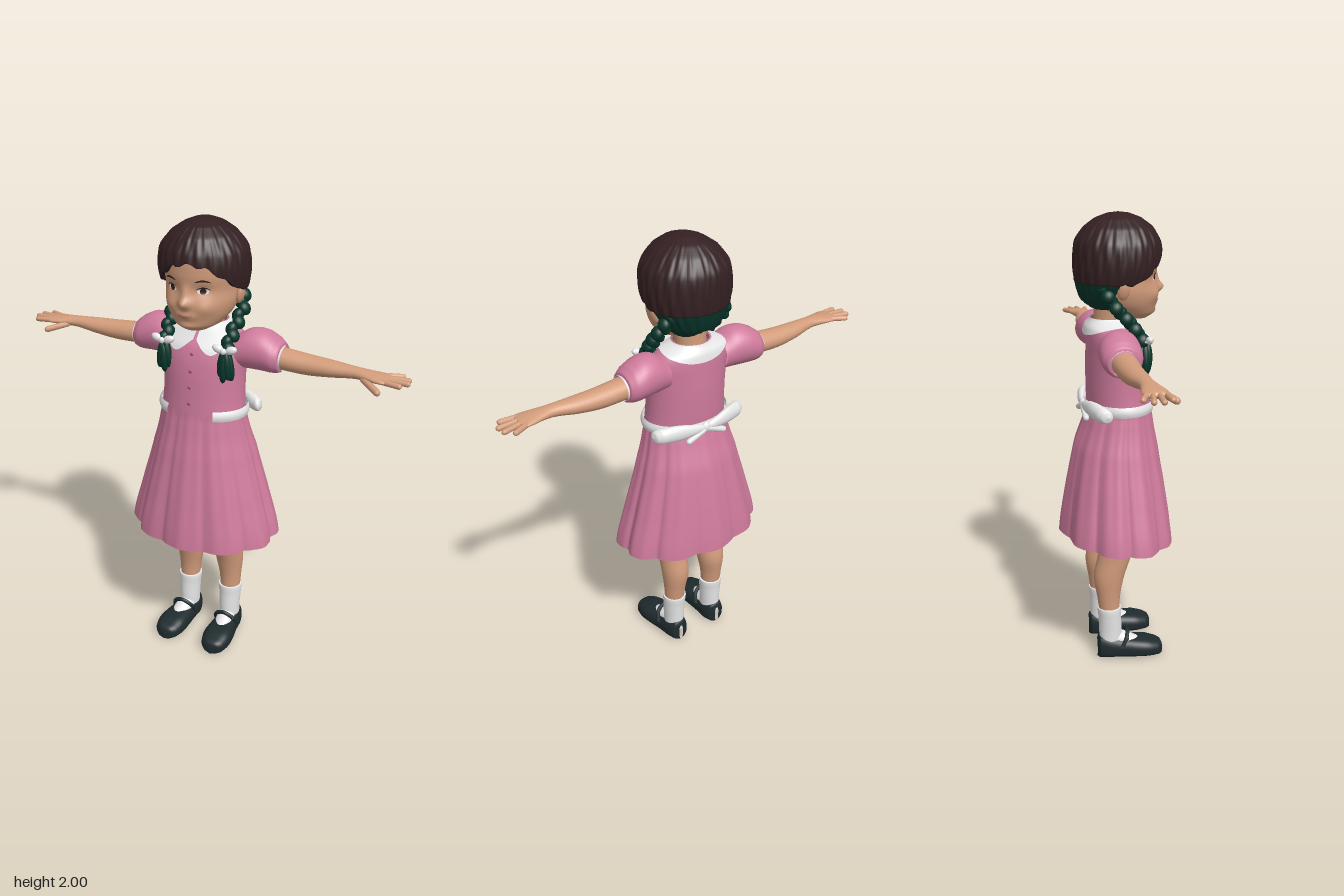
import * as THREE from 'three';
import { mergeVertices, mergeGeometries } from 'three/addons/utils/BufferGeometryUtils.js';

const mat = (name, color, side = THREE.FrontSide) => {
  const m = new THREE.MeshStandardMaterial({ color, side });
  m.name = name;
  return m;
};
const { sin, cos, abs, exp, PI } = Math;
const gauss = (d, w) => exp(-((d / w) ** 2));

// Smooth value of a ring table [key, centre, centre, radius, radius] at a key
function at(rings, key) {
  let i = 0;
  while (i < rings.length - 2 && key > rings[i + 1][0]) i++;
  const p1 = rings[i], p2 = rings[i + 1];
  const p0 = rings[i - 1] || p1, p3 = rings[i + 2] || p2;
  const t = THREE.MathUtils.clamp((key - p1[0]) / (p2[0] - p1[0]), 0, 1);
  return p1.map((_, k) => {
    if (k === 0) return key;
    const a = p0[k], b = p1[k], c = p2[k], d = p3[k];
    const r = b + 0.5 * t * (c - a + t * (2 * a - 5 * b + 4 * c - d + t * (3 * (b - c) + d - a)));
    return k > 2 ? Math.max(r, 0) : r;
  });
}

// Surface from a function of u, v in 0..1
function grid(fn, nu, nv) {
  const pos = [], idx = [];
  for (let j = 0; j <= nv; j++) for (let i = 0; i <= nu; i++) pos.push(...fn(i / nu, j / nv));
  for (let j = 0; j < nv; j++) for (let i = 0; i < nu; i++) {
    const a = j * (nu + 1) + i, b = a + 1, c = b + nu + 1, d = a + nu + 1;
    idx.push(a, b, c, a, c, d);
  }
  const g = new THREE.BufferGeometry();
  g.setAttribute('position', new THREE.Float32BufferAttribute(pos, 3));
  g.setIndex(idx);
  const m = mergeVertices(g, 1e-5);
  m.computeVertexNormals();
  return m;
}

// Elliptical rings lofted along an axis
function loft(rings, axis = 'y', nu = 28, steps = 5) {
  const n = rings.length - 1;
  return grid((u, v) => {
    const f = v * n, i = Math.min(Math.floor(f), n - 1);
    const key = rings[i][0] + (rings[i + 1][0] - rings[i][0]) * (f - i);
    const [k, c1, c2, r1, r2] = at(rings, key), a = u * 2 * PI;
    if (axis === 'y') return [c1 + r1 * sin(a), k, c2 + r2 * cos(a)];
    if (axis === 'x') return [k, c1 - r1 * sin(a), c2 + r2 * cos(a)];
    return [c1 + r1 * cos(a), c2 + r2 * sin(a), k];
  }, nu, n * steps);
}
// Point on an upright ring table, pushed out by off
function onRings(rings, a, y, off = 0) {
  const [, cx, cz, rx, rz] = at(rings, y);
  return [cx + (rx + off) * sin(a), y, cz + (rz + off) * cos(a)];
}
function ball(x, y, z, rx, ry, rz, tilt = 0) {
  return new THREE.SphereGeometry(1, 18, 12).scale(rx, ry, rz).rotateZ(tilt).translate(x, y, z);
}
function capsule(p, q, r) {
  const a = new THREE.Vector3(...p), b = new THREE.Vector3(...q), d = b.clone().sub(a);
  const turn = new THREE.Quaternion().setFromUnitVectors(new THREE.Vector3(0, 1, 0), d.clone().normalize());
  return new THREE.CapsuleGeometry(r, d.length(), 5, 10).applyQuaternion(turn).translate(...a.add(b).multiplyScalar(0.5).toArray());
}
function mirror(geo) {
  const g = geo.clone().scale(-1, 1, 1), ix = g.index.array;
  for (let i = 0; i < ix.length; i += 3) [ix[i + 1], ix[i + 2]] = [ix[i + 2], ix[i + 1]];
  g.computeVertexNormals();
  return g;
}

const HEAD = [[1.553, 0, 0.09, 0, 0], [1.56, 0, 0.085, 0.05, 0.05], [1.585, 0, 0.06, 0.097, 0.105], [1.63, 0, 0.035, 0.132, 0.138],
  [1.68, 0, 0.02, 0.15, 0.157], [1.735, 0, 0.015, 0.153, 0.157], [1.8, 0, 0.015, 0.162, 0.165], [1.88, 0, 0.01, 0.155, 0.162],
  [1.95, 0, 0.01, 0.1, 0.11], [1.98, 0, 0.01, 0, 0]];
const HAIR = [[1.6, 0, -0.04, 0.085, 0.08], [1.65, 0, -0.03, 0.135, 0.122], [1.72, 0, -0.003, 0.177, 0.168], [1.8, 0, 0.008, 0.19, 0.184],
  [1.88, 0, 0.01, 0.179, 0.178], [1.94, 0, 0.012, 0.135, 0.142], [1.975, 0, 0.012, 0.085, 0.095], [1.993, 0, 0.012, 0.042, 0.047], [2, 0, 0.012, 0, 0]];
const TORSO = [[1.165, 0, 0.015, 0.19, 0.138], [1.25, 0, 0.01, 0.184, 0.136], [1.35, 0, 0.005, 0.184, 0.132], [1.42, 0, 0, 0.19, 0.125],
  [1.48, 0, -0.01, 0.19, 0.113], [1.53, 0, -0.028, 0.15, 0.09], [1.565, 0, -0.032, 0.078, 0.07]];
const SKIRT = [[0.59, 0, 0, 0.34, 0.248], [0.8, 0, 0, 0.287, 0.22], [1, 0, 0.002, 0.232, 0.184], [1.14, 0, 0.012, 0.196, 0.148], [1.195, 0, 0.015, 0.188, 0.137]];

// Head surface with nose, cheeks, eye sockets and chin
function headPoint(a, y, off = 0) {
  const p = onRings(HEAD, a, y, off);
  if (cos(a) > 0) {
    const x = p[0];
    p[2] += 0.032 * gauss(x, 0.024) * gauss(y - 1.685, 0.022) + 0.014 * gauss(x, 0.02) * gauss(y - 1.725, 0.03)
      - 0.01 * gauss(abs(x) - 0.068, 0.03) * gauss(y - 1.738, 0.022)
      + 0.012 * gauss(abs(x) - 0.08, 0.04) * gauss(y - 1.665, 0.03)
      + 0.01 * gauss(x, 0.05) * gauss(y - 1.632, 0.018) + 0.008 * gauss(x, 0.04) * gauss(y - 1.585, 0.015);
  }
  return p;
}
// Thin painted oval following the face
const decal = (a0, y0, ra, ry, off, bend = 0) => grid((u, v) => {
  const f = u * 2 * PI, r = 1 - v, c = r * cos(f);
  return headPoint(a0 + ra * c, y0 + ry * r * sin(f) - bend * c * c, off);
}, 24, 6);

export function createModel() {
  const root = new THREE.Group();
  const skin = mat('skin', 0xd29c7b), pink = mat('pinkCloth', 0xcf7b9c, THREE.DoubleSide);
  const white = mat('whiteCloth', 0xe8e8e8, THREE.DoubleSide), brown = mat('brownHair', 0x342022, THREE.DoubleSide);
  const green = mat('greenBraid', 0x07352a, THREE.DoubleSide), shoe = mat('shoeLeather', 0x1f2b2e);
  const iris = mat('iris', 0x3a1d14), lip = mat('lips', 0xb8766a), rose = mat('roseButton', 0xa85678);
  const add = (name, geo, m) => {
    const mesh = new THREE.Mesh(geo, m);
    mesh.name = name;
    root.add(mesh);
  };
  const pair = (name, geo, m) => {
    add(name + 'Left', geo, m);
    add(name + 'Right', mirror(geo), m);
  };

  // Head and face
  add('head', grid((u, v) => headPoint(u * 2 * PI, 1.553 + 0.427 * (0.5 - 0.5 * cos(v * PI))), 110, 80), skin);
  add('neck', loft([[1.48, 0, -0.03, 0.075, 0.07], [1.55, 0, -0.028, 0.068, 0.064], [1.62, 0, -0.02, 0.075, 0.07]]), skin);
  pair('ear', ball(0.16, 1.7, 0.0, 0.016, 0.042, 0.027, -0.2), skin);
  pair('eyeWhite', decal(0.46, 1.737, 0.16, 0.013, 0.002), white);
  pair('eyeIris', decal(0.45, 1.737, 0.085, 0.0125, 0.004), iris);
  pair('upperLid', decal(0.46, 1.752, 0.18, 0.003, 0.005, 0.009), brown);
  pair('eyebrow', decal(0.46, 1.782, 0.2, 0.004, 0.003, 0.008), brown);
  add('lips', decal(0, 1.63, 0.24, 0.006, 0.002, -0.006), lip);

  // Hair cap, with strands sweeping from the crown to an uneven hairline
  const hairline = a => 1.845 - 0.125 * THREE.MathUtils.smoothstep(abs(a - 0.12), 0.1, 1.5) + 0.008 * sin(15 * a) * gauss(a, 1.5);
  const strands = (p, a, y) => {
    const k = 1 + 0.012 * sin(24 * a + 20 * y) + 0.007 * sin(41 * a - 26 * y);
    return [p[0] * k, y, 0.01 + (p[2] - 0.01) * k];
  };
  add('hairCap', grid((u, v) => {
    const a = (u * 2 - 1) * PI, w = Math.max(v - 0.04, 0) / 0.96, low = hairline(a);
    const y = low + (2 - low) * (1 - (1 - w) ** 2);
    return strands(onRings(HAIR, a, y, v === 0 ? -0.03 : 0), a, y);
  }, 180, 40), brown);
  add('napeHair', grid((u, v) => {
    const a = 1.65 + u * (2 * PI - 3.3), y = 1.61 + 0.03 * gauss(a - PI, 0.5) + v * 0.12;
    return strands(onRings(HAIR, a, Math.min(y, 1.74), -0.002), a, y);
  }, 70, 12), green);

  // Braids of overlapping tilted locks, ending in a loose tuft
  const path = new THREE.CatmullRomCurve3([[0.135, 1.7, -0.075], [0.155, 1.63, -0.03], [0.148, 1.56, 0.035], [0.143, 1.49, 0.085]].map(p => new THREE.Vector3(...p)));
  const locks = [];
  for (let i = 0; i < 10; i++) {
    const p = path.getPoint(i / 9), s = i % 2 ? 1 : -1;
    locks.push(ball(p.x + 0.009 * s, p.y, p.z, 0.024, 0.03, 0.029, 0.5 * s));
  }
  for (let i = 0; i < 7; i++) {
    const f = i / 7 * 2 * PI;
    locks.push(ball(0.143 + 0.018 * cos(f), 1.415 + 0.012 * sin(3 * f), 0.095 + 0.016 * sin(f), 0.018, 0.062, 0.018, 0.16 * cos(f)));
  }
  pair('braid', mergeGeometries(locks), green);
  pair('braidBow', mergeGeometries([ball(0.115, 1.492, 0.112, 0.027, 0.017, 0.015, -0.35), ball(0.172, 1.492, 0.108, 0.027, 0.017, 0.015, 0.35),
    ball(0.143, 1.488, 0.122, 0.013, 0.014, 0.012), new THREE.TorusGeometry(0.027, 0.008, 8, 20).rotateX(PI / 2).translate(0.143, 1.486, 0.09)]), white);

  // Dress
  add('bodice', loft(TORSO, 'y', 56), pink);
  add('skirt', grid((u, v) => {
    const a = u * 2 * PI, y = 0.59 + 0.605 * v, p = onRings(SKIRT, a, y), fall = 1 - v;
    const fold = 1 + (0.02 + 0.06 * fall) * (abs(cos(5 * a)) - 0.62) + 0.012 * cos(24 * a + 2 * sin(a)) * (0.4 + v * fall);
    return [p[0] * fold, y - 0.015 * cos(a) * fall, p[2] * fold];
  }, 240, 30), pink);
  pair('puffSleeve', loft([[0.14, 1.45, -0.02, 0.07, 0.08], [0.2, 1.465, -0.028, 0.086, 0.086], [0.26, 1.464, -0.034, 0.087, 0.088],
    [0.31, 1.452, -0.035, 0.076, 0.084], [0.338, 1.444, -0.035, 0.062, 0.068], [0.342, 1.443, -0.035, 0.045, 0.05]], 'x', 36), pink);
  pair('sleeveCuff', loft([[0.325, 1.443, -0.035, 0.05, 0.058], [0.348, 1.442, -0.035, 0.052, 0.058]], 'x'), white);
  add('placket', grid((u, v) => onRings(TORSO, (u - 0.5) * 0.2, 1.2 + v * 0.3, 0.005), 6, 20), pink);
  for (const y of [1.24, 1.31, 1.38, 1.45]) add('button', ball(0, y, onRings(TORSO, 0, y)[2] + 0.006, 0.008, 0.008, 0.004), rose);
  pair('collar', grid((u, v) => {
    const a = 0.04 + u * (PI - 0.04);
    const low = 1.542 - 0.085 * gauss(a - 0.4, 0.38) - 0.045 * gauss(a - PI, 0.9);
    return onRings(TORSO, a, low + v * (1.567 - low), 0.008 + 0.008 * (1 - v));
  }, 60, 12), white);

  // Sash tied in a bow at the back
  add('sash', grid((u, v) => onRings(TORSO, 0.56 + u * (2 * PI - 1.12), 1.17 + v * 0.045, 0.01 + 0.006 * sin(v * PI)), 60, 6), white);
  pair('sashBowLoop', loft([[0, 1.19, -0.14, 0.014, 0.012], [0.05, 1.192, -0.138, 0.024, 0.016], [0.13, 1.195, -0.122, 0.036, 0.022],
    [0.2, 1.188, -0.092, 0.034, 0.03], [0.222, 1.185, -0.08, 0.024, 0.024], [0.23, 1.185, -0.075, 0, 0]], 'x'), white);
  add('sashKnot', ball(0, 1.19, -0.142, 0.022, 0.024, 0.016), white);
  pair('sashTail', capsule([0.015, 1.18, -0.145], [0.09, 1.15, -0.145], 0.013), white);

  // Arms and hands
  pair('arm', loft([[0.28, 1.445, -0.034, 0.045, 0.052], [0.36, 1.439, -0.034, 0.045, 0.053], [0.46, 1.434, -0.034, 0.042, 0.049],
    [0.56, 1.437, -0.03, 0.034, 0.043], [0.65, 1.442, -0.023, 0.025, 0.032], [0.7, 1.442, -0.02, 0.021, 0.038],
    [0.76, 1.44, -0.018, 0.016, 0.051], [0.795, 1.439, -0.018, 0.012, 0.046], [0.805, 1.439, -0.018, 0, 0]], 'x'), skin);
  const tips = [[0.835, -0.08], [0.868, -0.05], [0.873, -0.014], [0.85, 0.024]];
  pair('fingers', mergeGeometries(tips.map(([x, z], i) => capsule([0.77, 1.44, -0.052 + i * 0.022], [x, 1.437, z], 0.0115))), skin);
  pair('thumb', capsule([0.7, 1.432, 0.005], [0.775, 1.41, 0.058], 0.014), skin);

  // Legs, socks and strapped shoes
  pair('leg', loft([[0.2, 0.107, -0.048, 0.045, 0.046], [0.3, 0.106, -0.053, 0.05, 0.052], [0.4, 0.102, -0.05, 0.062, 0.069],
    [0.5, 0.102, -0.025, 0.063, 0.076], [0.6, 0.102, -0.01, 0.068, 0.082], [0.75, 0.098, -0.005, 0.082, 0.092], [0.95, 0.085, 0, 0.08, 0.09]]), skin);
  pair('sock', mergeGeometries([loft([[0.05, 0.108, -0.045, 0.045, 0.05], [0.13, 0.107, -0.045, 0.047, 0.052], [0.2, 0.107, -0.048, 0.051, 0.052],
    [0.25, 0.106, -0.05, 0.054, 0.054], [0.252, 0.106, -0.05, 0.044, 0.046]]), loft([[-0.03, 0.108, 0.08, 0.04, 0.05], [0.03, 0.112, 0.07, 0.042, 0.042], [0.085, 0.117, 0.06, 0.03, 0.024], [0.1, 0.118, 0.06, 0, 0]], 'z')]), white);
  const LAST = [[-0.107, 0.108, 0.055, 0.01, 0.03], [-0.1, 0.108, 0.055, 0.038, 0.05], [-0.06, 0.108, 0.054, 0.053, 0.054], [0, 0.112, 0.047, 0.056, 0.047],
    [0.06, 0.117, 0.044, 0.064, 0.044], [0.12, 0.12, 0.041, 0.068, 0.041], [0.17, 0.122, 0.034, 0.055, 0.033], [0.19, 0.122, 0.03, 0.034, 0.026], [0.197, 0.122, 0.03, 0, 0]];
  pair('shoe', grid((u, v) => {
    const z = -0.107 + 0.304 * (0.5 - 0.5 * cos(v * PI)), [, cx, cy, w, h] = at(LAST, z), a = u * 2 * PI;
    const soft = t => Math.sign(t) * abs(t) ** 0.6;
    return [cx + w * soft(cos(a)), sin(a) < 0 ? cy + (cy - 0.002) * soft(sin(a)) : cy + h * sin(a), z];
  }, 40, 36), shoe);
  const strap = new THREE.CatmullRomCurve3([[0.057, 0.065, 0.0], [0.072, 0.105, 0.022], [0.112, 0.127, 0.032], [0.152, 0.105, 0.022], [0.168, 0.065, 0.0]].map(p => new THREE.Vector3(...p)));
  pair('shoeStrap', new THREE.TubeGeometry(strap, 24, 0.0095, 8), shoe);
  pair('shoeBuckle', ball(0.157, 0.1, 0.022, 0.007, 0.009, 0.01), shoe);
  return root;
}
